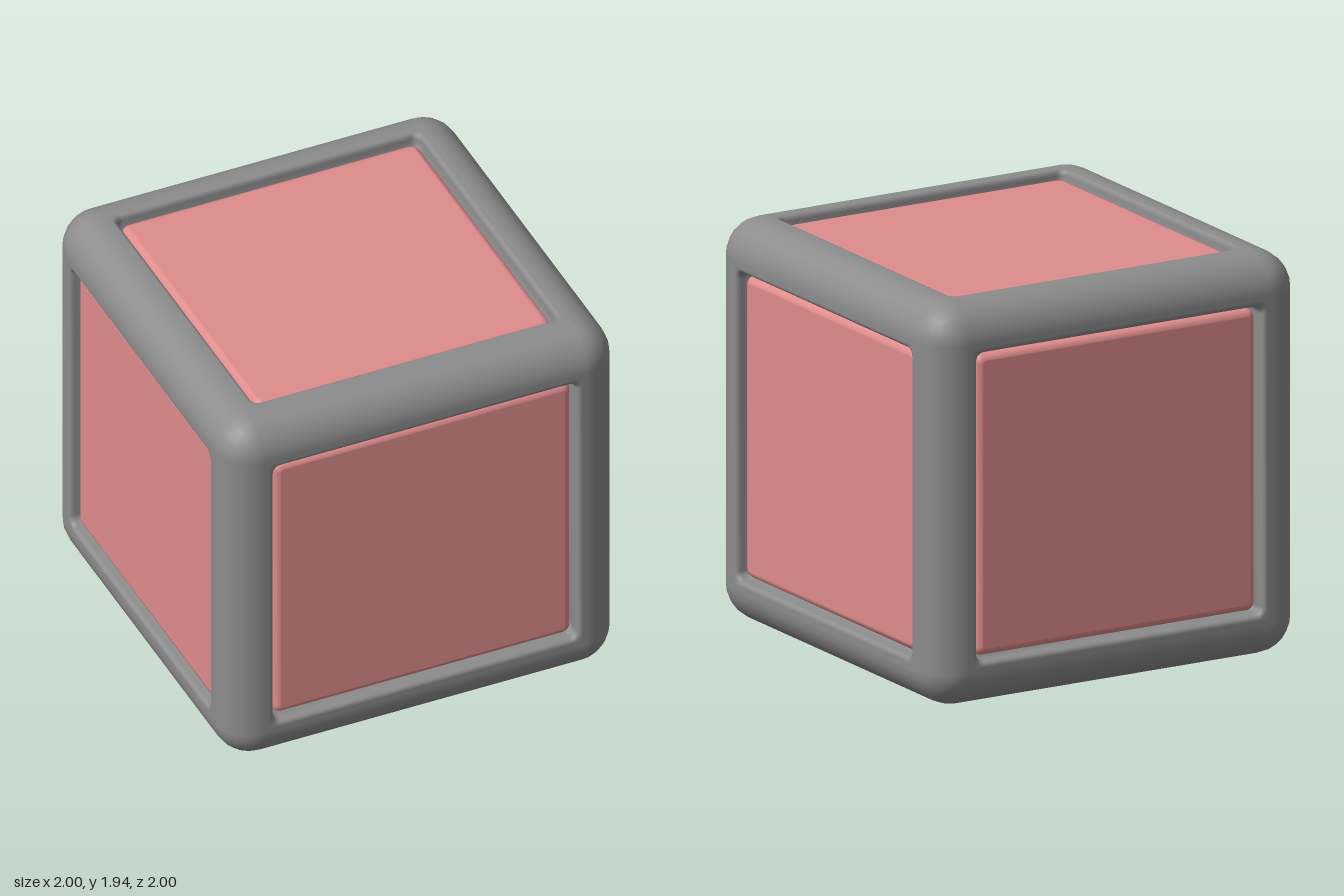
import * as THREE from 'three';
import { mergeGeometries } from 'three/addons/utils/BufferGeometryUtils.js';

const HALF = new THREE.Vector3(1, 0.97, 1); // half extents of the block
const ROUND = 0.18;                         // outer edge radius
const HOLE = 0.2;                           // inset where the flat rim meets the lip

// Six sides: outward normal and the local horizontal direction
const SIDES = [
  ['front', [0, 0, 1], [1, 0, 0]],
  ['back', [0, 0, -1], [-1, 0, 0]],
  ['left', [1, 0, 0], [0, 0, -1]],
  ['right', [-1, 0, 0], [0, 0, 1]],
  ['top', [0, 1, 0], [1, 0, 0]],
  ['bottom', [0, -1, 0], [1, 0, 0]],
];

function buildGeometry(positions, index, normals) {
  const g = new THREE.BufferGeometry();
  g.setAttribute('position', new THREE.Float32BufferAttribute(positions, 3));
  g.setIndex(index);
  if (normals) g.setAttribute('normal', new THREE.Float32BufferAttribute(normals, 3));
  else g.computeVertexNormals();
  return g;
}

// One side of a rounded box with a rectangular opening
function shellSide(h) {
  const steps = (half) => {
    const up = [half - HOLE];
    for (let i = 0; i <= 3; i++) up.push(half - ROUND + ROUND * Math.tan(i * Math.PI / 12));
    return [...up.map((v) => -v).reverse(), ...up];
  };
  const us = steps(h.x), vs = steps(h.y), n = us.length, mid = n / 2 - 1;
  const core = h.clone().subScalar(ROUND), low = core.clone().negate();
  const pos = [], nor = [], index = [];
  for (const v of vs) for (const u of us) {
    const p = new THREE.Vector3(u, v, h.z);
    const inner = p.clone().clamp(low, core);
    const dir = p.sub(inner).normalize();
    nor.push(...dir.toArray());
    pos.push(...inner.addScaledVector(dir, ROUND).toArray());
  }
  for (let j = 0; j < n - 1; j++) for (let i = 0; i < n - 1; i++) {
    if (i === mid && j === mid) continue;
    const a = j * n + i, b = a + 1, c = a + n, d = c + 1;
    index.push(a, b, d, a, d, c);
  }
  return buildGeometry(pos, index, nor);
}

// Loft through rounded rectangles given as [inset, corner radius, height]
function loft(h, loops, capped) {
  const SEG = 5, count = 4 * (SEG + 1), pos = [], index = [];
  for (const [inset, r, z] of loops) {
    const a = h.x - inset - r, b = h.y - inset - r;
    for (let q = 0; q < 4; q++) for (let s = 0; s <= SEG; s++) {
      const t = (q + s / SEG) * Math.PI / 2;
      const sx = q === 0 || q === 3 ? 1 : -1, sy = q < 2 ? 1 : -1;
      pos.push(sx * a + r * Math.cos(t), sy * b + r * Math.sin(t), h.z + z);
    }
  }
  for (let k = 0; k < loops.length - 1; k++) for (let i = 0; i < count; i++) {
    const j = (i + 1) % count, a = k * count + i, b = k * count + j;
    index.push(a, b, b + count, a, b + count, a + count);
  }
  if (capped) {
    const base = (loops.length - 1) * count, centre = pos.length / 3;
    pos.push(0, 0, h.z + loops[loops.length - 1][2]);
    for (let i = 0; i < count; i++) index.push(base + i, base + (i + 1) % count, centre);
  }
  return buildGeometry(pos, index);
}

// Rolled lip and groove wall around each opening
const LIP = [
  [HOLE, 0.0005, 0], [0.208, 0.045, 0], [0.216, 0.043, -0.003], [0.223, 0.041, -0.01],
  [0.228, 0.04, -0.026], [0.229, 0.04, -0.12], [0.3, 0.03, -0.12],
];
// Inset panel with a soft rounded edge
const PANEL = [
  [0.244, 0.038, -0.12], [0.244, 0.038, -0.065], [0.248, 0.036, -0.05],
  [0.258, 0.03, -0.038], [0.273, 0.018, -0.032], [0.278, 0.016, -0.032],
];

export function createModel() {
  const group = new THREE.Group();
  const frameMaterial = new THREE.MeshStandardMaterial({ color: 0x8c8c8c });
  const panelMaterial = new THREE.MeshStandardMaterial({ color: 0xe08c8c });
  const frameParts = [];

  for (const [name, normal, across] of SIDES) {
    const n = new THREE.Vector3(...normal), u = new THREE.Vector3(...across);
    const v = n.clone().cross(u);
    const size = (axis) => Math.abs(HALF.dot(axis));
    const h = new THREE.Vector3(size(u), size(v), size(n));
    const place = new THREE.Matrix4().makeBasis(u, v, n).setPosition(0, HALF.y, 0);

    frameParts.push(shellSide(h).applyMatrix4(place), loft(h, LIP, false).applyMatrix4(place));

    const panel = new THREE.Mesh(loft(h, PANEL, true).applyMatrix4(place), panelMaterial);
    panel.name = name + 'Panel';
    group.add(panel);
  }

  const frame = new THREE.Mesh(mergeGeometries(frameParts), frameMaterial);
  frame.name = 'frame';
  group.add(frame);
  return group;
}
